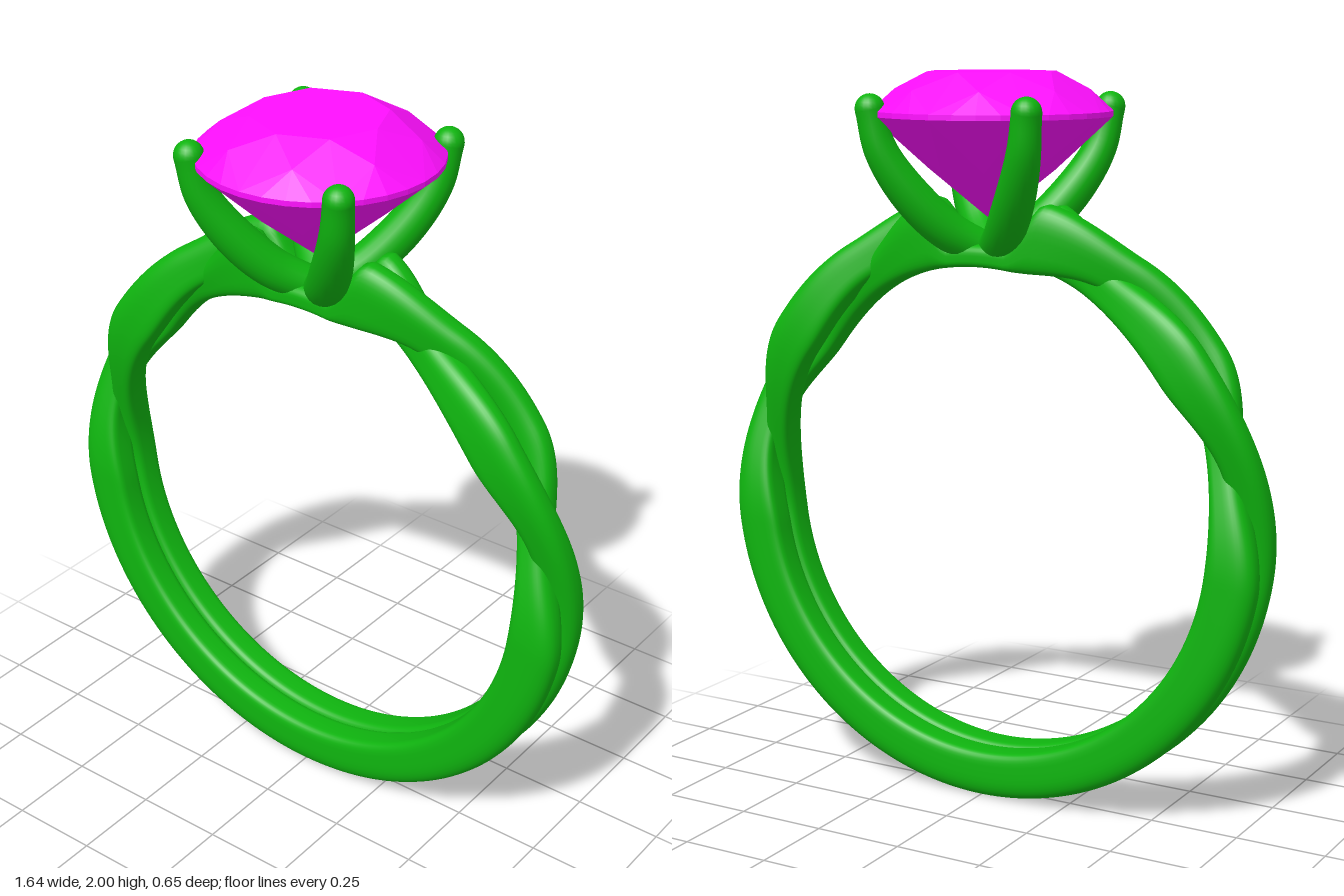
import * as THREE from 'three';
import { ConvexGeometry } from 'three/addons/geometries/ConvexGeometry.js';

const metal = new THREE.MeshStandardMaterial({ color: 0x0fb40f });
const gemMaterial = new THREE.MeshStandardMaterial({ color: 0xff0fff, flatShading: true });
const CENTRE_Y = 0.81;
const { smoothstep } = THREE.MathUtils;

// Smooth interpolation through [key, value] pairs
function ease(keys, x) {
  if (x <= keys[0][0]) return keys[0][1];
  for (let i = 1; i < keys.length; i++) {
    const [a, va] = keys[i - 1], [b, vb] = keys[i];
    if (x <= b) return va + (vb - va) * smoothstep(x, a, b);
  }
  return keys[keys.length - 1][1];
}

// Skin over equal-sized cross-sections (counter-clockwise about the path)
function loft(sections, closed) {
  const n = sections[0].length, m = sections.length, index = [];
  for (let i = 0; i < (closed ? m : m - 1); i++) {
    for (let j = 0; j < n; j++) {
      const i2 = (i + 1) % m, j2 = (j + 1) % n;
      const a = i * n + j, b = i * n + j2, c = i2 * n + j, d = i2 * n + j2;
      index.push(a, b, c, b, d, c);
    }
  }
  const g = new THREE.BufferGeometry().setFromPoints(sections.flat());
  g.setIndex(index);
  g.computeVertexNormals();
  return g;
}

// Band strand: angle in degrees from the top; side mirrors it into its partner
const SWAY = [[8, -0.048], [29, 0], [53, 0.06], [75, 0], [98, -0.046]];
const OVER = [[8, 0], [29, -1], [53, 0], [76, 1], [100, 0]];
const OUTER = [[7, 0.74], [13, 0.873], [32, 0.84], [55, 0.822], [100, 0.82], [180, 0.81]];
// Linear near the crossings so that the strands weave evenly
function sway(t) {
  if (t > 8 && t < 98) {
    if (t < 53) return 0.006 - 0.054 * Math.cos((t - 8) / 45 * Math.PI);
    return 0.007 + 0.053 * Math.cos((t - 53) / 45 * Math.PI);
  }
  return t <= 8 ? SWAY[0][1] : SWAY[4][1];
}

function strandGeometry(side) {
  const sections = [], steps = 300, around = 36;
  for (let i = 0; i < steps; i++) {
    const deg = -180 + (360 * i) / steps, t = Math.abs(deg), phi = deg * Math.PI / 180;
    const z = side * sway(t);
    const over = side * Math.sign(deg) * ease(OVER, t);
    const outer = ease(OUTER, t) - 0.06 * Math.max(0, -over);
    const inner = 0.676 + 0.045 * Math.max(0, over);
    const mid = (outer + inner) / 2, half = (outer - inner) / 2;
    const width = 0.047 - 0.006 * smoothstep(t, 25, 53) * (1 - smoothstep(t, 53, 90));
    const ring = [];
    for (let j = 0; j < around; j++) {
      const a = (j / around) * Math.PI * 2, c = Math.cos(a), s = Math.sin(a);
      // round on the outside, squarer against the finger
      const p = c > 0 ? 2 / 2.5 : 2 / 4.5;
      const r = mid + half * Math.sign(c) * Math.abs(c) ** p;
      const w = width * Math.sign(s) * Math.abs(s) ** p;
      ring.push(new THREE.Vector3(r * Math.sin(phi), CENTRE_Y + r * Math.cos(phi), z + w));
    }
    sections.push(ring);
  }
  return loft(sections, true);
}

// Claw: tapered curved tube with rounded ends, leaning outward along +x
function clawGroup() {
  const path = new THREE.CatmullRomCurve3([
    [0.02, 1.53], [0.09, 1.585], [0.165, 1.69], [0.215, 1.8], [0.234, 1.905],
  ].map(([d, y]) => new THREE.Vector3(d * Math.SQRT2, y, 0)));
  const radius = t => ease([[0, 0.05], [0.35, 0.055], [1, 0.04]], t);
  const sections = [], steps = 28, around = 20;
  for (let i = 0; i <= steps; i++) {
    const t = i / steps, p = path.getPoint(t), T = path.getTangent(t);
    const u = new THREE.Vector3(T.y, -T.x, 0), v = T.clone().cross(u);
    const ring = [];
    for (let j = 0; j < around; j++) {
      const a = (j / around) * Math.PI * 2;
      ring.push(p.clone().addScaledVector(u, radius(t) * Math.cos(a))
        .addScaledVector(v, radius(t) * Math.sin(a)));
    }
    sections.push(ring);
  }
  const claw = new THREE.Group();
  const shaft = new THREE.Mesh(loft(sections, false), metal);
  shaft.name = 'clawShaft';
  claw.add(shaft);
  for (const [t, name] of [[0, 'clawRoot'], [1, 'clawTip']]) {
    const ball = new THREE.Mesh(new THREE.SphereGeometry(radius(t), 20, 14), metal);
    ball.position.copy(path.getPoint(t));
    ball.name = name;
    claw.add(ball);
  }
  return claw;
}

// Faceted stone: table, crown, girdle, pavilion and culet
function gemGeometry() {
  const points = [new THREE.Vector3(0, 1.605, 0)];
  const ring = (n, r, y, turn = 0) => {
    for (let i = 0; i < n; i++) {
      const a = ((i + turn) / n) * Math.PI * 2;
      points.push(new THREE.Vector3(r * Math.cos(a), y, r * Math.sin(a)));
    }
  };
  ring(8, 0.178, 2.0);
  ring(8, 0.262, 1.954, 0.5);
  ring(32, 0.323, 1.898);
  ring(32, 0.323, 1.884);
  ring(8, 0.17, 1.742, 0.5);
  return new ConvexGeometry(points);
}

export function createModel() {
  const model = new THREE.Group();
  model.name = 'ring';

  // Two interwoven strands of the band
  for (const side of [1, -1]) {
    const strand = new THREE.Mesh(strandGeometry(side), metal);
    strand.name = side > 0 ? 'bandStrandA' : 'bandStrandB';
    model.add(strand);
  }

  // Four claws on the diagonals
  for (let i = 0; i < 4; i++) {
    const claw = clawGroup();
    claw.rotation.y = Math.PI / 4 + (i * Math.PI) / 2;
    claw.name = 'claw' + (i + 1);
    model.add(claw);
  }

  const gem = new THREE.Mesh(gemGeometry(), gemMaterial);
  gem.name = 'gemstone';
  model.add(gem);
  return model;
}
